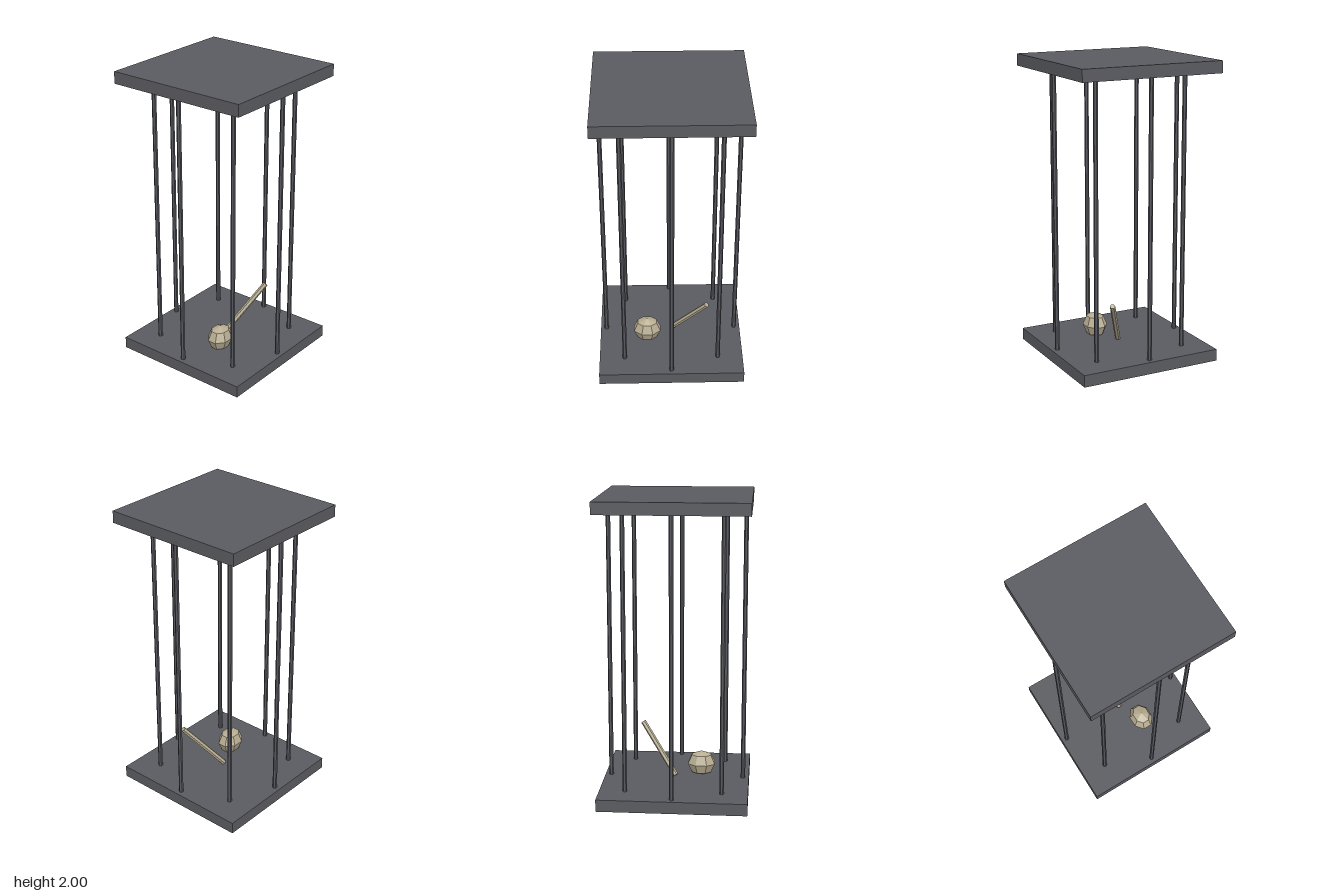
import * as THREE from 'three';

const material = (color) => new THREE.MeshStandardMaterial({ color, flatShading: true });

function add(parent, name, geometry, mat, x, y, z) {
  const mesh = new THREE.Mesh(geometry, mat);
  mesh.name = name;
  mesh.position.set(x, y, z);
  parent.add(mesh);
  return mesh;
}

export function createModel() {
  const model = new THREE.Group();
  model.name = 'hangingCage';
  const slabMat = material(0x5a5b60);
  const barMat = material(0x55565c);
  const boneMat = material(0xb8ad92);

  // Floor and roof slabs
  const size = 0.98, thick = 0.08, height = 2;
  const slab = new THREE.BoxGeometry(size, thick, size);
  add(model, 'floor', slab, slabMat, 0, thick / 2, 0);
  add(model, 'roof', slab, slabMat, 0, height - thick / 2, 0);

  // Ring of eight bars
  const bars = new THREE.Group();
  bars.name = 'bars';
  model.add(bars);
  const bar = new THREE.CylinderGeometry(0.015, 0.015, height - thick, 6);
  for (let i = 0; i < 8; i++) {
    const a = (i * Math.PI) / 4;
    add(bars, 'bar', bar, barMat, 0.45 * Math.cos(a), height / 2, 0.45 * Math.sin(a));
  }

  // Faceted skull resting on the floor
  const skull = new THREE.SphereGeometry(1, 8, 4);
  skull.rotateY(Math.PI / 8);
  skull.scale(0.08, 0.087, 0.099);
  add(model, 'skull', skull, boneMat, 0.088, 0.148, 0.163);

  // Long bone leaning up from the floor towards the back
  const low = new THREE.Vector3(0, 0.085, -0.008);
  const high = new THREE.Vector3(0.163, 0.41, -0.245);
  const along = high.clone().sub(low);
  const mid = low.clone().add(high).multiplyScalar(0.5);
  const bone = add(model, 'longBone', new THREE.CylinderGeometry(0.018, 0.018, along.length(), 6),
    boneMat, mid.x, mid.y, mid.z);
  bone.quaternion.setFromUnitVectors(new THREE.Vector3(0, 1, 0), along.normalize());

  return model;
}
